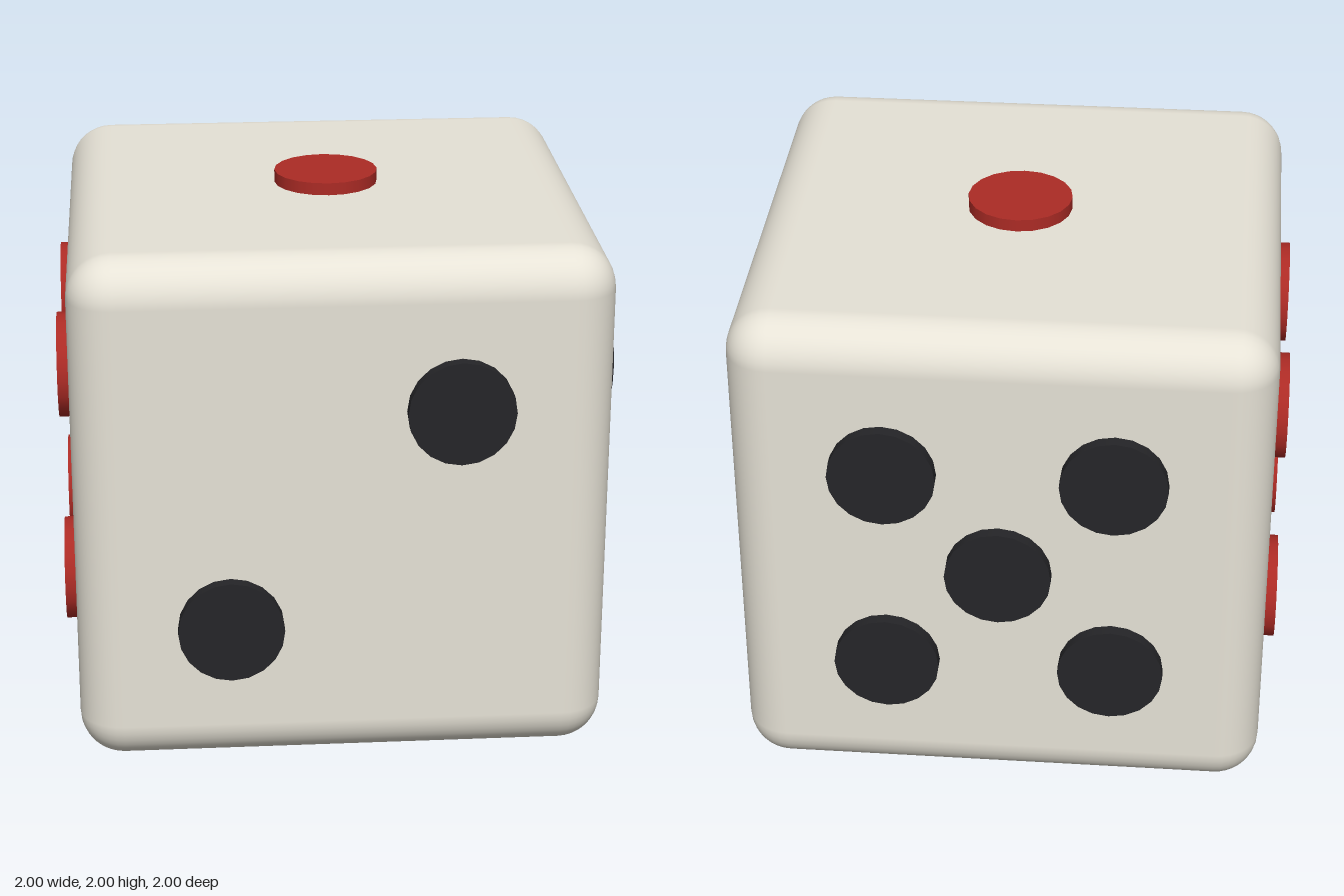
import * as THREE from 'three';
import { RoundedBoxGeometry } from 'three/addons/geometries/RoundedBoxGeometry.js';

const SIZE = 1.91;      // body edge length
const CORNER = 0.16;    // body edge rounding
const PIP_RADIUS = 0.19;
const PIP_DEPTH = 0.09; // half sunk into the body
const S = 0.405;        // pip spacing from the face centre

export function createModel() {
  const model = new THREE.Group();
  model.name = 'die';

  const ivory = new THREE.MeshStandardMaterial({ color: 0xe6e2d6 });
  const black = new THREE.MeshStandardMaterial({ color: 0x252528 });
  const red = new THREE.MeshStandardMaterial({ color: 0xac2b25 });

  // Rounded cube body
  const body = new THREE.Mesh(new RoundedBoxGeometry(SIZE, SIZE, SIZE, 5, CORNER), ivory);
  body.name = 'body';
  body.position.y = 1;
  model.add(body);

  // Pip disc lying on a face that looks along +z
  const pipGeometry = new THREE.CylinderGeometry(PIP_RADIUS, PIP_RADIUS, PIP_DEPTH, 20);
  pipGeometry.rotateX(Math.PI / 2);

  // Pip layouts in face coordinates (right, up)
  const diagonal = [[S, S], [-S, -S]];
  const corners = [...diagonal, [-S, S], [S, -S]];
  const centre = [0, 0];

  const Q = Math.PI / 2;
  const faces = [
    { name: 'topPips', rotation: [-Q, 0, 0], material: red, pips: [centre] },
    { name: 'frontPips', rotation: [0, 0, 0], material: black, pips: diagonal },
    { name: 'leftPips', rotation: [0, Q, 0], material: black, pips: [[-S, S], centre, [S, -S]] },
    { name: 'rightPips', rotation: [0, -Q, 0], material: red, pips: corners },
    { name: 'backPips', rotation: [0, Math.PI, 0], material: black, pips: [...corners, centre] },
    { name: 'bottomPips', rotation: [Q, 0, 0], material: black, pips: [...corners, [-S, 0], [S, 0]] },
  ];

  for (const { name, rotation, material, pips } of faces) {
    const face = new THREE.Group();
    face.name = name;
    face.position.y = 1;
    face.rotation.set(...rotation);
    for (const [x, y] of pips) {
      const pip = new THREE.Mesh(pipGeometry, material);
      pip.name = 'pip';
      pip.position.set(x, y, 1 - PIP_DEPTH / 2);
      face.add(pip);
    }
    model.add(face);
  }

  return model;
}
